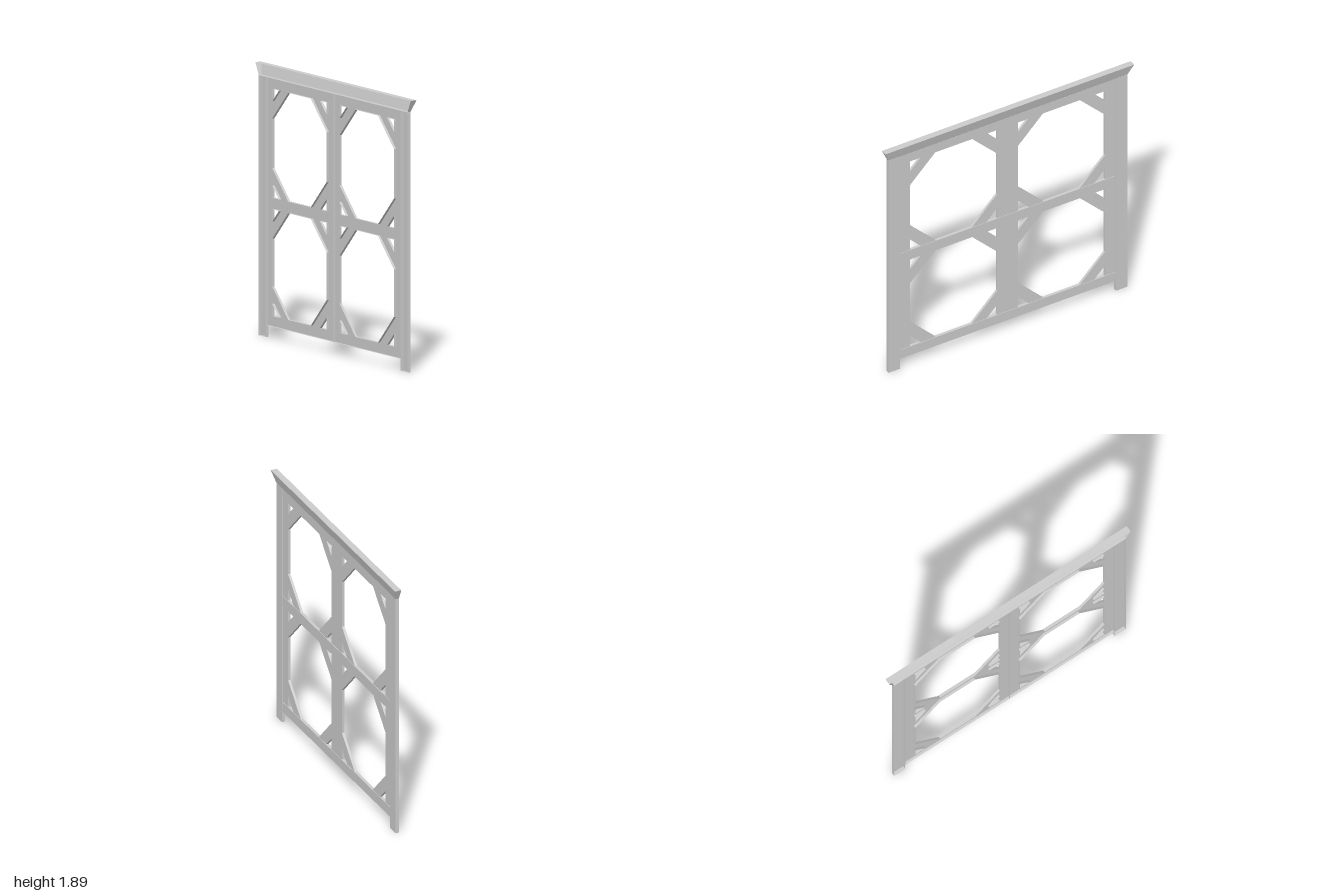
import * as THREE from 'three';

const material = new THREE.MeshStandardMaterial({ color: 0xcccccc, flatShading: true, side: THREE.DoubleSide });
const BACK = -0.024, PLATE = -0.006, RAIL = -0.002, FRONT = 0;
const DOOR_W = 0.866, DOOR_Y0 = 0.083, DOOR_Y1 = 1.81;

function addMesh(group, name, geometry) {
  const mesh = new THREE.Mesh(geometry, material);
  mesh.name = name;
  group.add(mesh);
  return mesh;
}

// Box shell without its -x side
function openBox(x0, x1, y0, y1, z0, z1) {
  const g = new THREE.BoxGeometry(x1 - x0, y1 - y0, z1 - z0);
  g.translate((x0 + x1) / 2, (y0 + y1) / 2, (z0 + z1) / 2);
  const index = Array.from(g.index.array);
  index.splice(6, 6);
  g.setIndex(index);
  g.clearGroups();
  return g;
}

// Extruded shell without its rear cap, turned to face +x
function openExtrude(shape, x0, x1) {
  const g = new THREE.ExtrudeGeometry(shape, { depth: x1 - x0, bevelEnabled: false });
  const p = g.attributes.position, kept = [];
  for (let i = 0; i < p.count; i += 3) {
    const rear = [0, 1, 2].every(k => p.getZ(i + k) < 1e-6);
    if (!rear) for (let k = 0; k < 3; k++) kept.push(p.getX(i + k), p.getY(i + k), p.getZ(i + k));
  }
  const out = new THREE.BufferGeometry();
  out.setAttribute('position', new THREE.Float32BufferAttribute(kept, 3));
  out.computeVertexNormals();
  out.rotateY(Math.PI / 2).translate(x0, 0, 0);
  return out;
}

const toPoints = list => list.map(([x, y]) => new THREE.Vector2(x, y));

// Door leaf plate: two eight-sided openings, each with four corner triangles
function doorShape(side) {
  const a0 = 0.083, a1 = 0.783, big = 0.205, small = 0.086;
  const shape = new THREE.Shape(toPoints([
    [0, DOOR_Y0], [side * DOOR_W, DOOR_Y0], [side * DOOR_W, DOOR_Y1], [0, DOOR_Y1]]));
  for (const [y0, y1] of [[0.157, 0.9], [0.98, 1.737]]) {
    const octagon = [
      [a0 + big, y0], [a1 - big, y0], [a1, y0 + big], [a1, y1 - big],
      [a1 - big, y1], [a0 + big, y1], [a0, y1 - big], [a0, y0 + big]];
    shape.holes.push(new THREE.Path(toPoints(octagon.map(([x, y]) => [side * x, y]))));
    for (const [x, dx] of [[a0, 1], [a1, -1]]) {
      for (const [y, dy] of [[y0, 1], [y1, -1]]) {
        shape.holes.push(new THREE.Path(toPoints([
          [side * x, y], [side * (x + dx * small), y], [side * x, y + dy * small]])));
      }
    }
  }
  return shape;
}

export function createModel() {
  const model = new THREE.Group();
  model.name = 'doubleDoor';

  for (const side of [1, -1]) {
    const label = side > 0 ? 'right' : 'left';
    // Frame post
    const z = [side * 0.868, side * 0.96].sort((a, b) => a - b);
    addMesh(model, label + 'Post', openBox(BACK, FRONT, 0, 1.81, z[0], z[1]));
    // Leaf with stiles and corner braces
    addMesh(model, label + 'DoorLeaf', openExtrude(doorShape(-side), BACK, PLATE));
  }

  // Rails standing slightly proud of the stiles
  const rails = { bottomRail: [DOOR_Y0, 0.157], middleRail: [0.9, 0.98], topRail: [1.737, DOOR_Y1] };
  for (const [name, [y0, y1]] of Object.entries(rails)) {
    addMesh(model, name, openBox(PLATE, RAIL, y0, y1, -DOOR_W, DOOR_W));
  }

  // Header flaring out to the front and both ends
  const header = openBox(BACK, FRONT, 1.812, 1.895, -0.96, 0.96);
  const p = header.attributes.position;
  for (let i = 0; i < p.count; i++) {
    if (p.getY(i) < 1.85) continue;
    p.setZ(i, Math.sign(p.getZ(i)));
    if (p.getX(i) > -0.01) p.setX(i, 0.024);
  }
  header.computeVertexNormals();
  addMesh(model, 'header', header);

  return model;
}
